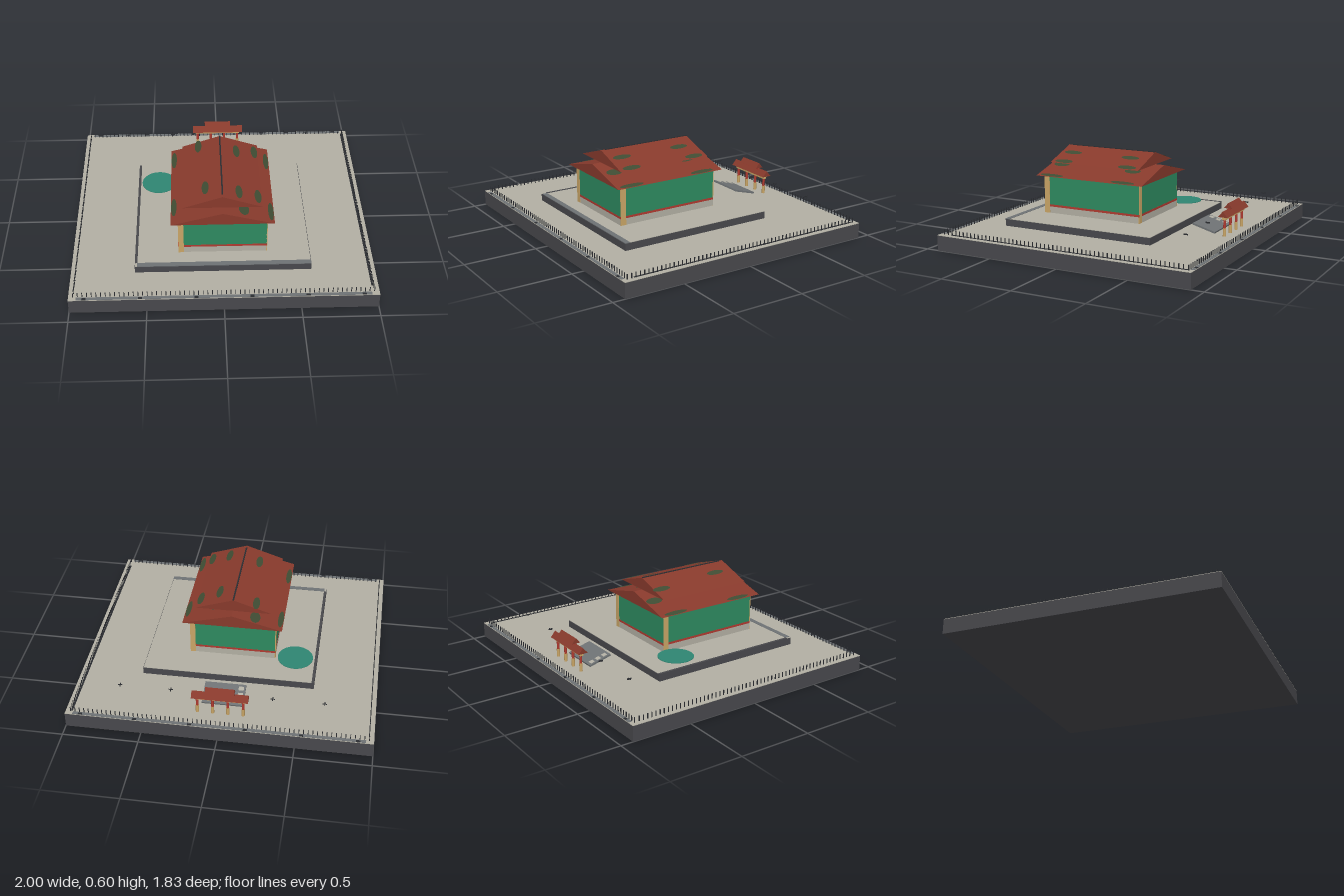
import * as THREE from 'three';

const mat = (name, color, side = THREE.FrontSide) =>
  Object.assign(new THREE.MeshStandardMaterial({ color, side }), { name });

export function createModel() {
  const slate = mat('slate', 0x48484c);
  const stone = mat('pale stone', 0xb2afa3);
  const roofRed = mat('roof red', 0x883a2c);
  const green = mat('wall green', 0x2e8a60);
  const tan = mat('tan wood', 0xc9a566);
  const trimRed = mat('trim red', 0xb03a30);
  const moss = mat('moss', 0x3f4c33, THREE.DoubleSide);
  const teal = mat('teal water', 0x2f8572);
  const grey = mat('grey paving', 0x6e7274);
  const iron = mat('dark iron', 0x2b2d31);

  const model = new THREE.Group();
  const add = (name, geo, material, x = 0, y = 0, z = 0, parent = model) => {
    const m = new THREE.Mesh(geo, material);
    m.name = name;
    m.position.set(x, y, z);
    parent.add(m);
    return m;
  };
  // Box given by its limits on each axis
  const box = (name, material, x0, x1, y0, y1, z0, z1, parent = model) =>
    add(name, new THREE.BoxGeometry(x1 - x0, y1 - y0, z1 - z0), material,
      (x0 + x1) / 2, (y0 + y1) / 2, (z0 + z1) / 2, parent);
  // Triangular prism with its ridge along z
  const gable = (name, half, height, length, parent) => {
    const s = new THREE.Shape([
      new THREE.Vector2(-half, 0), new THREE.Vector2(half, 0), new THREE.Vector2(0, height)]);
    const g = new THREE.ExtrudeGeometry(s, { depth: length, bevelEnabled: false });
    return add(name, g.translate(0, 0, -length / 2), roofRed, 0, 0, 0, parent);
  };

  // Ground block with paved top and border strips
  box('groundBlock', slate, -1, 1, 0, 0.102, -0.915, 0.915);
  box('groundPaving', stone, -1, 1, 0.102, 0.105, -0.915, 0.915);
  for (const s of [-1, 1]) {
    box('groundBorder', grey, -0.95, 0.95, 0.105, 0.107, s * 0.9 - 0.012, s * 0.9 + 0.012);
    for (const x of [-0.9, -0.54, -0.18, 0.18, 0.54, 0.9])
      box('borderMark', iron, x - 0.013, x + 0.013, 0.106, 0.108, s * 0.904 - 0.009, s * 0.904 + 0.009);
  }
  box('sideBorder', iron, 0.954, 0.966, 0.105, 0.107, -0.88, 0.83);

  // Perimeter fence of small stakes
  const spots = [];
  for (let x = -0.97; x <= 0.971; x += 0.0298) spots.push([x, -0.885], [x, 0.88]);
  for (let z = -0.85; z <= 0.86; z += 0.0298) spots.push([-0.968, z], [0.966, z]);
  const stakeGeo = new THREE.BoxGeometry(0.005, 0.034, 0.005);
  const fence = new THREE.Group();
  fence.name = 'fence';
  model.add(fence);
  spots.forEach(([x, z]) => add('fenceStake', stakeGeo, iron, x, 0.122, z, fence));

  // Raised terrace
  box('terrace', slate, -0.58, 0.58, 0.105, 0.152, -0.44, 0.66);
  box('terracePaving', stone, -0.577, 0.577, 0.152, 0.155, -0.437, 0.657);
  box('terraceFrontEdge', grey, -0.565, 0.58, 0.152, 0.157, 0.625, 0.66);
  box('terraceSideEdge', slate, -0.58, -0.563, 0.152, 0.157, -0.44, 0.625);

  // House walls in bands
  const house = new THREE.Group();
  house.name = 'house';
  house.position.set(0, 0, 0.155);
  model.add(house);
  const W = 0.293, D = 0.368;
  box('wallPlinth', stone, -W, W, 0.155, 0.2, -D, D, house);
  box('wallTrim', trimRed, -W - 0.001, W + 0.001, 0.2, 0.215, -D - 0.001, D + 0.001, house);
  box('walls', green, -W, W, 0.215, 0.425, -D, D, house);
  // One corner board at the left end of each wall
  for (const s of [-1, 1]) {
    box('cornerBoard', tan, Math.min(-s * W, -s * (W - 0.036)), Math.max(-s * W, -s * (W - 0.036)),
      0.155, 0.42, s * D - 0.003, s * D + 0.003, house);
    box('cornerBoard', tan, s * W - 0.003, s * W + 0.003, 0.155, 0.42,
      Math.min(s * D, s * (D - 0.04)), Math.max(s * D, s * (D - 0.04)), house);
  }

  // Two stacked gable roofs
  gable('lowerRoof', 0.338, 0.088, 0.815, house).position.y = 0.42;
  gable('upperRoof', 0.26, 0.086, 0.68, house).position.y = 0.506;
  box('ridgeCap', iron, -0.005, 0.005, 0.588, 0.595, -0.34, 0.31, house);

  // Moss patches lying on the slopes
  const patchGeo = new THREE.CircleGeometry(1, 20).rotateX(-Math.PI / 2);
  const patch = (x, z, rx, rz, upper) => {
    const [half, h, y0] = upper ? [0.26, 0.086, 0.506] : [0.338, 0.088, 0.42];
    const y = y0 + h * (1 - Math.abs(x) / half) + 0.003;
    const p = add('mossPatch', patchGeo, moss, x, y, z - 0.155, house);
    p.scale.set(rx, 1, rz);
    p.rotation.z = -Math.sign(x) * Math.atan(h / half);
  };
  [[-0.11, 0.35], [0.11, -0.05], [0.11, 0.4], [-0.15, -0.13], [0.235, -0.09], [0.235, 0.4]]
    .forEach(([x, z]) => patch(x, z, 0.024, 0.068, true));
  [[-0.318, -0.13], [-0.318, 0.39], [0.318, -0.1], [0.318, 0.45]]
    .forEach(([x, z]) => patch(x, z, 0.019, 0.09, false));
  [[0.14, 0.475], [0.14, -0.085], [-0.15, -0.19]].forEach(([x, z]) => patch(x, z, 0.035, 0.06, false));

  // Round pond disc
  add('pond', new THREE.CylinderGeometry(0.12, 0.12, 0.004, 40), teal, -0.432, 0.175, -0.21);

  // Sloping ramp behind the terrace
  const ramp = new THREE.Group();
  ramp.name = 'ramp';
  ramp.position.set(-0.002, 0.137, -0.612);
  ramp.rotation.x = -0.27;
  model.add(ramp);
  box('rampSlab', grey, -0.137, 0.137, -0.006, 0.006, -0.083, 0.083, ramp);
  for (const z of [-0.05, 0, 0.05])
    box('rampChip', stone, -0.125, -0.09, 0.006, 0.008, z - 0.015, z + 0.015, ramp);

  // Gateway with four posts and a double roof
  const gate = new THREE.Group();
  gate.name = 'gateway';
  gate.position.set(0, 0, -0.767);
  model.add(gate);
  for (const x of [-0.15, -0.05, 0.05, 0.15]) {
    add('postFoot', new THREE.CylinderGeometry(0.011, 0.011, 0.055, 10), tan, x, 0.1325, 0, gate);
    add('postShaft', new THREE.CylinderGeometry(0.009, 0.009, 0.06, 10), trimRed, x, 0.19, 0, gate);
  }
  box('gateBeam', tan, -0.165, 0.165, 0.216, 0.238, -0.012, 0.012, gate);
  box('gateNeck', trimRed, -0.09, 0.09, 0.255, 0.283, -0.008, 0.008, gate);
  [[0.034, 0.04, 0.37, 0.238], [0.03, 0.036, 0.19, 0.28]].forEach(([half, h, len, y]) => {
    const r = gable('gateRoof', half, h, len, gate);
    r.position.y = y;
    r.rotation.y = Math.PI / 2;
  });

  // Small hovering cross markers
  for (const x of [-0.67, -0.335, 0.33, 0.665]) {
    box('crossBar', iron, x - 0.015, x + 0.015, 0.23, 0.234, -0.728, -0.723);
    box('crossBar', iron, x - 0.0025, x + 0.0025, 0.228, 0.236, -0.74, -0.711);
  }
  return model;
}
